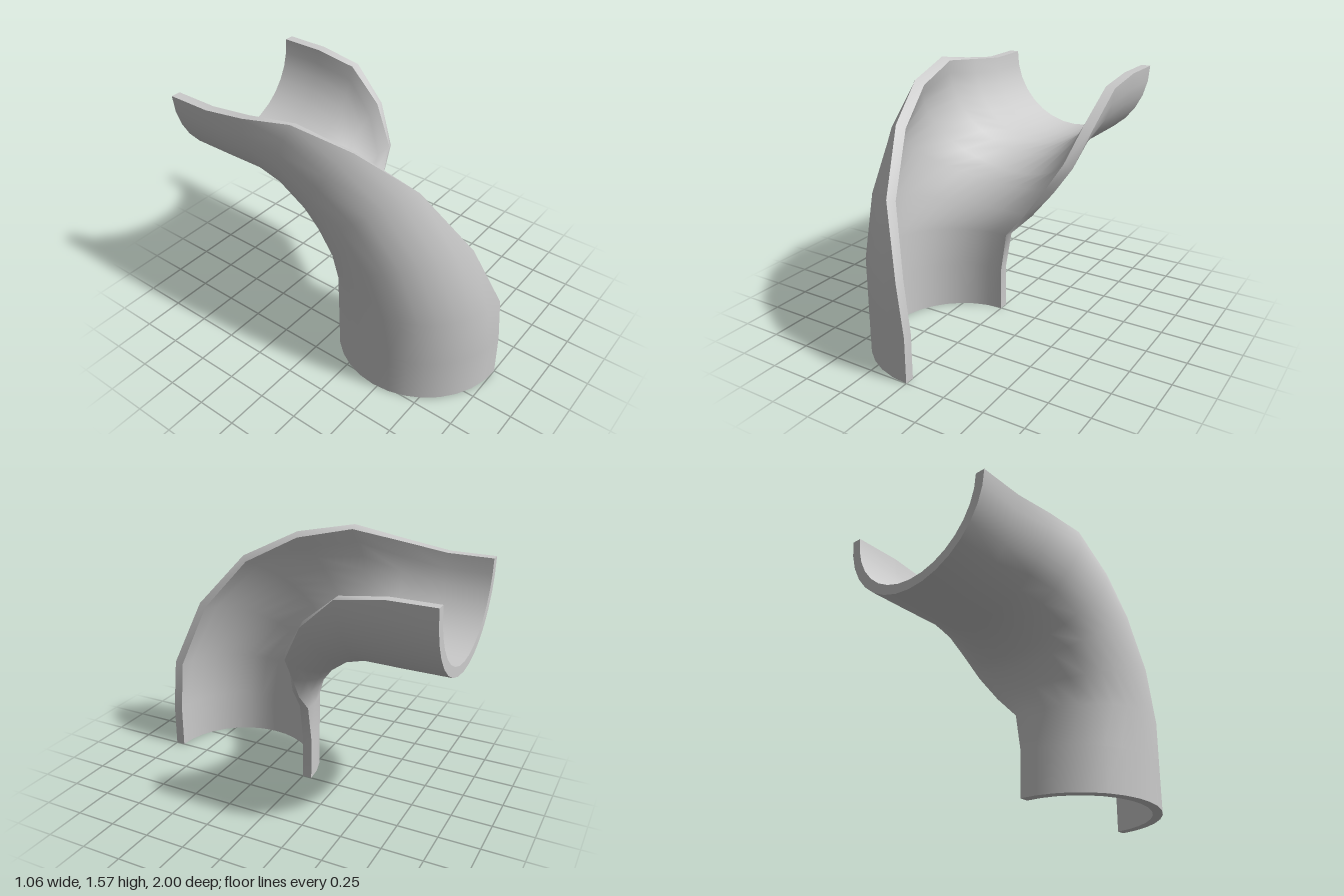
import * as THREE from 'three';
import { mergeGeometries } from 'three/addons/utils/BufferGeometryUtils.js';

const OUTER = 0.53, INNER = 0.47, SEGMENTS = 16;

// centreline stations: y, z, and the angle by which the section both bends and twists
const stations = [
  [0, 0.47, 0], [0.28, 0.47, 0], [0.56, 0.47, 4.5], [0.83, 0.402, 20], [1.078, 0.253, 36],
  [1.25, 0.078, 54], [1.402, -0.17, 70], [1.47, -0.44, 85.5], [1.47, -0.72, 90], [1.47, -1, 90],
];
const LAST = stations.length - 1;

// point on the half pipe: station i, step j around the half circle, radius r
function point(i, j, r) {
  const [y, z, degrees] = stations[i];
  const a = THREE.MathUtils.degToRad(degrees);
  const around = a + (j / SEGMENTS) * Math.PI;
  const out = r * Math.cos(around);
  return [-r * Math.sin(around), y + out * Math.sin(a), z + out * Math.cos(a)];
}

// grid surface facing along (u x v)
function grid(nu, nv, f) {
  const positions = [], index = [];
  for (let u = 0; u <= nu; u++) {
    for (let v = 0; v <= nv; v++) {
      positions.push(...f(u, v));
      if (u < nu && v < nv) {
        const a = u * (nv + 1) + v, b = a + nv + 1;
        index.push(a, b, a + 1, b, b + 1, a + 1);
      }
    }
  }
  const g = new THREE.BufferGeometry();
  g.setAttribute('position', new THREE.Float32BufferAttribute(positions, 3));
  g.setIndex(index);
  g.computeVertexNormals();
  return g;
}

export function createModel() {
  const group = new THREE.Group();
  group.name = 'twistedHalfPipe';
  const material = new THREE.MeshStandardMaterial({ color: 0xcccccc });
  const add = (name, geometry) => {
    const mesh = new THREE.Mesh(geometry, material);
    mesh.name = name;
    group.add(mesh);
  };
  const radius = (k) => (k ? OUTER : INNER);

  // curved walls, smooth inside and out
  add('outerWall', grid(LAST, SEGMENTS, (i, j) => point(i, j, OUTER)));
  add('innerWall', grid(LAST, SEGMENTS, (i, j) => point(i, SEGMENTS - j, INNER)));

  // long cut edges
  add('cutEdges', mergeGeometries([
    grid(LAST, 1, (i, k) => point(i, 0, radius(k))),
    grid(LAST, 1, (i, k) => point(i, SEGMENTS, radius(1 - k))),
  ]));

  // flat half-ring ends
  add('bottomEnd', grid(1, SEGMENTS, (k, j) => point(0, j, radius(k))));
  add('backEnd', grid(1, SEGMENTS, (k, j) => point(LAST, j, radius(1 - k))));
  return group;
}
